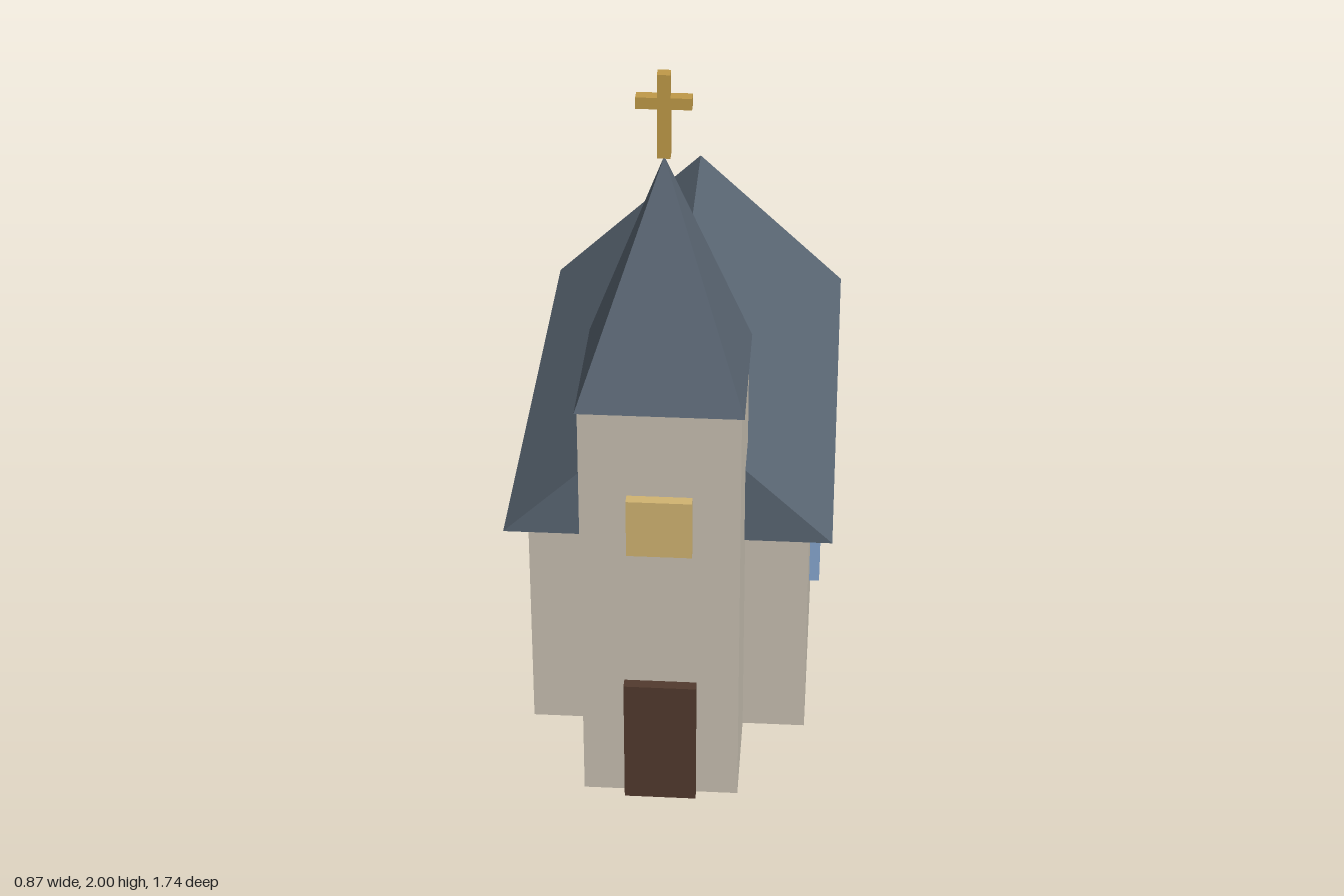
import * as THREE from 'three';

export function createModel() {
  const model = new THREE.Group();
  model.name = 'church';

  const mat = (name, color) => {
    const m = new THREE.MeshStandardMaterial({ color });
    m.name = name;
    return m;
  };
  const stone = mat('stone wall', 0xc8c0b2);
  const slate = mat('slate roof', 0x5a6673);
  const wood = mat('dark wood', 0x523a2e);
  const glass = mat('blue glass', 0x88a8d0);
  const amber = mat('amber glass', 0xd2b472);
  const gold = mat('gold', 0xc09a48);

  const add = (name, geometry, material, parent = model) => {
    const mesh = new THREE.Mesh(geometry, material);
    mesh.name = name;
    parent.add(mesh);
    return mesh;
  };
  // Box given by its extents on each axis
  const box = (name, [x0, x1], [y0, y1], [z0, z1], material, parent) => {
    const mesh = add(name, new THREE.BoxGeometry(x1 - x0, y1 - y0, z1 - z0), material, parent);
    mesh.position.set((x0 + x1) / 2, (y0 + y1) / 2, (z0 + z1) / 2);
    return mesh;
  };

  // Nave and tower walls
  box('naveWalls', [-0.373, 0.373], [0, 0.635], [-0.828, 0.54], stone);
  box('towerWalls', [-0.204, 0.204], [0, 1.17], [0.434, 0.842], stone);

  // Gabled nave roof
  const gable = new THREE.Shape([
    new THREE.Vector2(-0.435, 0.635),
    new THREE.Vector2(0.435, 0.635),
    new THREE.Vector2(0, 1.045),
  ]);
  const roof = new THREE.ExtrudeGeometry(gable, { depth: 1.452, bevelEnabled: false });
  add('naveRoof', roof, slate).position.z = -0.87;

  // Four-sided spire
  const spireGeometry = new THREE.ConeGeometry(0.211 * Math.SQRT2, 0.61, 4)
    .rotateY(Math.PI / 4)
    .toNonIndexed();
  spireGeometry.computeVertexNormals();
  add('spire', spireGeometry, slate).position.set(0, 1.475, 0.638);

  // Cross on the spire
  const cross = new THREE.Group();
  cross.name = 'cross';
  model.add(cross);
  box('crossUpright', [-0.016, 0.016], [1.78, 2], [0.622, 0.654], gold, cross);
  box('crossArm', [-0.068, 0.068], [1.91, 1.94], [0.622, 0.654], gold, cross);

  // Door and tower window
  box('door', [-0.094, 0.094], [0, 0.36], [0.83, 0.872], wood);
  box('towerWindow', [-0.083, 0.083], [0.77, 0.932], [0.83, 0.872], amber);

  // Three windows along each side
  for (const side of [-1, 1]) {
    for (const z of [0.148, -0.183, -0.513]) {
      const w = box('naveWindow', [-0.02, 0.02], [0.25, 0.468], [z - 0.055, z + 0.055], glass);
      w.position.x = side * 0.381;
    }
  }
  return model;
}
